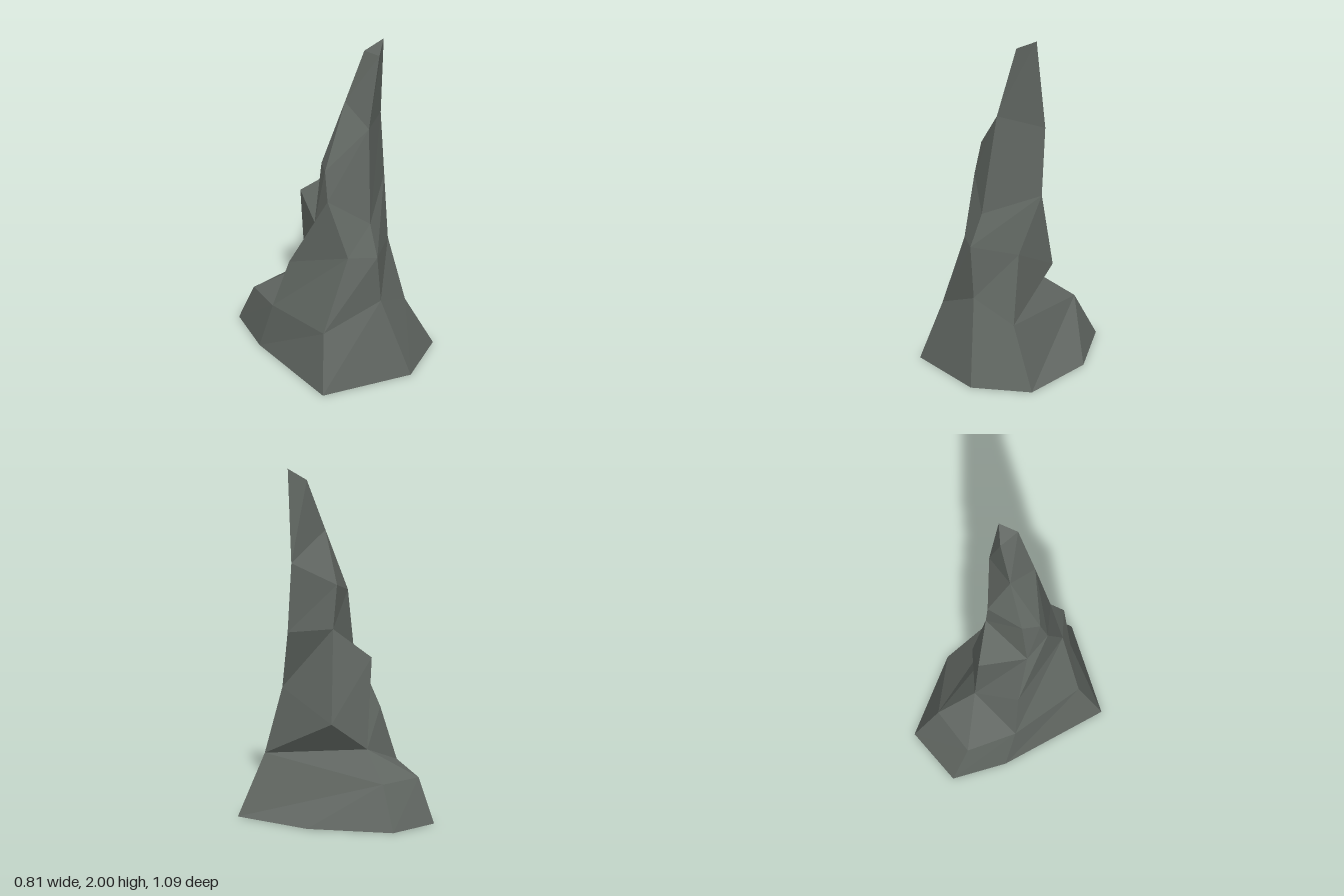
import * as THREE from 'three';

// Joins each ring to the next with facets, leaving out those that collapse
// where neighbouring corners of a ring meet.
function loftRings(rings) {
  const positions = [];
  const facet = (...corners) => {
    const [a, b, c] = corners.map((p) => new THREE.Vector3(...p));
    const area = b.clone().sub(a).cross(c.clone().sub(a)).length();
    if (area > 1e-6) positions.push(...corners.flat());
  };
  for (let r = 0; r < rings.length - 1; r++) {
    const low = rings[r], high = rings[r + 1], n = low.length;
    for (let i = 0; i < n; i++) {
      const j = (i + 1) % n;
      facet(low[i], low[j], high[j]);
      facet(low[i], high[j], high[i]);
    }
  }
  // Small slanted cap at the tip
  const tip = rings[rings.length - 1];
  facet(tip[0], tip[1], tip[2]);

  const geometry = new THREE.BufferGeometry();
  geometry.setAttribute('position', new THREE.Float32BufferAttribute(positions, 3));
  geometry.computeVertexNormals();
  return geometry;
}

export function createModel() {
  const stone = new THREE.MeshStandardMaterial({ color: 0x616762, flatShading: true, side: THREE.DoubleSide });

  // Corners run front, right, back, left in every ring.
  const base = [
    [0.10, 0, 0.54], [0.405, 0, 0.37], [0.35, 0, -0.13], [0.08, 0, -0.545],
    [-0.26, 0, -0.52], [-0.355, 0, -0.23], [-0.41, 0, 0.385],
  ];

  // Foot of the spire and the ledge behind it
  const footFront = [0, 0.47, 0.40], footRight = [0.235, 0.345, 0.33];
  const footBack = [-0.035, 0.41, -0.215];
  const footLeftBack = [-0.33, 0.30, -0.145], footLeft = [-0.325, 0.33, 0.29];
  const ledgeRight = [0.035, 0.25, -0.415], ledgeLeft = [-0.245, 0.25, -0.41];

  // Waist
  const waist = [
    [-0.025, 0.77, 0.40], [0.19, 0.73, 0.235], [0.14, 0.56, -0.11], footBack,
    footBack, [-0.265, 0.60, -0.08], [-0.155, 0.77, 0.30],
  ];

  // Chest, with a step at the back
  const chestFront = [-0.01, 0.95, 0.32], chestRight = [0.26, 1.07, 0.12];
  const chestBack = [0.08, 1.09, -0.06], step = [-0.07, 0.93, -0.215];
  const chestLeftBack = [-0.18, 0.89, 0.04], chestLeft = [-0.195, 1.10, 0.17];

  // Shoulder and neck
  const shoulderFront = [0.04, 1.53, 0.25], shoulderRight = [0.26, 1.47, 0.09];
  const shoulderBack = [0.055, 1.34, -0.065];
  const shoulderLeftBack = [-0.13, 1.27, 0.04], shoulderLeft = [-0.18, 1.28, 0.13];
  const neck = [0.02, 1.63, 0.065];

  // Tip
  const tipFront = [0.15, 1.955, 0.21], tipRight = [0.24, 2, 0.14], tipBack = [0.145, 1.93, 0.085];

  const rings = [
    base,
    [footFront, footRight, ledgeRight, ledgeRight, ledgeLeft, footLeftBack, footLeft],
    [footFront, footRight, footBack, footBack, footBack, footLeftBack, footLeft],
    waist,
    [chestFront, chestRight, chestBack, step, step, chestLeftBack, chestLeft],
    [chestFront, chestRight, chestBack, chestBack, chestBack, chestLeftBack, chestLeft],
    [shoulderFront, shoulderRight, shoulderBack, shoulderBack, shoulderBack, shoulderLeftBack, shoulderLeft],
    [shoulderFront, shoulderRight, neck, neck, neck, neck, neck],
    [tipFront, tipRight, tipBack, tipBack, tipBack, tipBack, tipBack],
  ];

  stone.name = 'stone';
  const spire = new THREE.Mesh(loftRings(rings), stone);
  spire.name = 'rockSpire';

  const model = new THREE.Group();
  model.name = 'rock';
  model.add(spire);
  return model;
}
